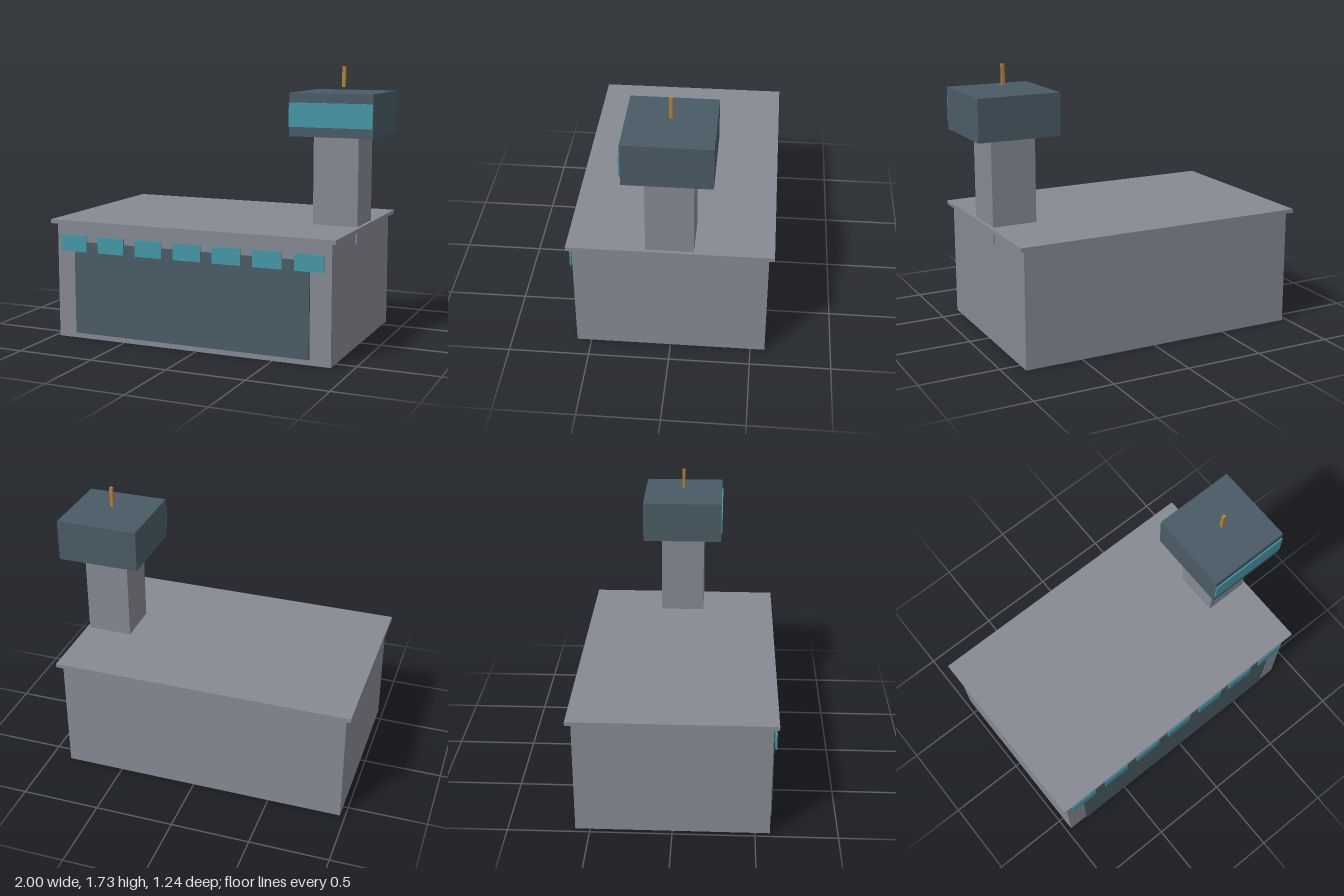
import * as THREE from 'three';

const mat = (color) => new THREE.MeshStandardMaterial({ color, flatShading: true });

export function createModel() {
  const model = new THREE.Group();
  const wall = mat(0x868993);
  const dark = mat(0x4a5b66);
  const glass = mat(0x4596a6);
  const amber = mat(0xb08038);

  // box given by its extents along each axis
  const box = (name, material, [x0, x1], [y0, y1], [z0, z1], parent = model) => {
    const mesh = new THREE.Mesh(new THREE.BoxGeometry(x1 - x0, y1 - y0, z1 - z0), material);
    mesh.position.set((x0 + x1) / 2, (y0 + y1) / 2, (z0 + z1) / 2);
    mesh.name = name;
    parent.add(mesh);
    return mesh;
  };

  // main hall with overhanging roof slab and large front door
  box('hall', wall, [-0.968, 0.868], [0, 0.738], [-0.59, 0.59]);
  box('roof', wall, [-1, 0.9], [0.738, 0.763], [-0.622, 0.622]);
  box('hallDoor', dark, [-0.84, 0.735], [0.035, 0.627], [0.588, 0.603]);

  // row of windows above the door
  const windows = new THREE.Group();
  windows.name = 'hallWindows';
  model.add(windows);
  for (let i = 0; i < 7; i++) {
    const x = -0.839 + i * 0.2624;
    box('hallWindow', glass, [x - 0.092, x + 0.092], [0.565, 0.669], [0.604, 0.614], windows);
  }

  // control tower: shaft, cabin, front glazing and beacon
  const tower = new THREE.Group();
  tower.name = 'tower';
  model.add(tower);
  box('towerShaft', wall, [0.593, 0.879], [0.66, 1.314], [-0.144, 0.144], tower);
  box('towerCabin', dark, [0.475, 1], [1.314, 1.577], [-0.261, 0.261], tower);
  box('cabinWindow', glass, [0.475, 1], [1.372, 1.519], [0.261, 0.269], tower);
  box('beacon', amber, [0.726, 0.746], [1.604, 1.734], [-0.01, 0.01], tower);

  return model;
}
